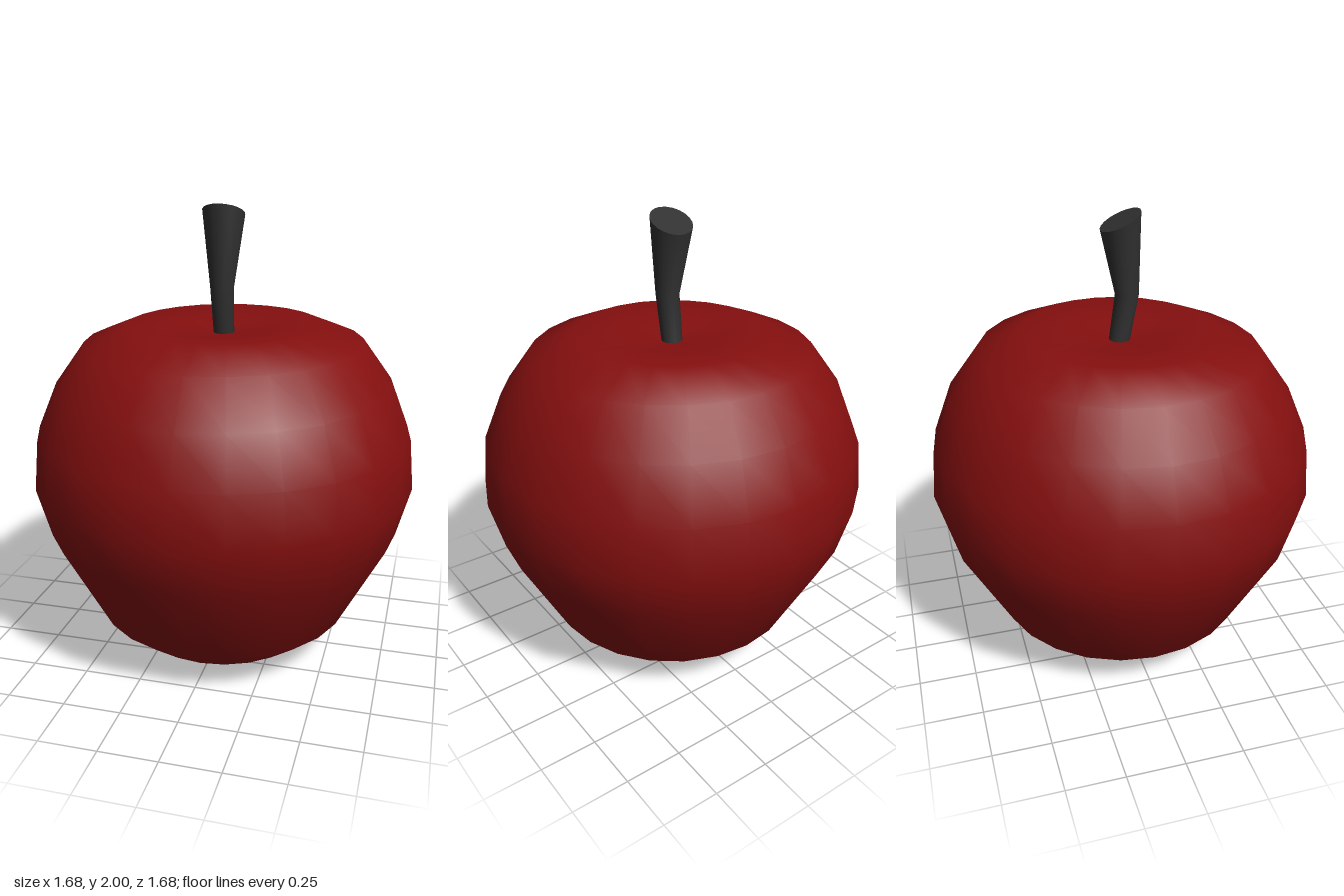
import * as THREE from 'three';
import { toCreasedNormals } from 'three/addons/utils/BufferGeometryUtils.js';

// Round body turned from a profile, its shoulder leaning a touch to one side
function createBody() {
  const profile = [
    [0, 0], [0.22, 0.02], [0.41, 0.065], [0.57, 0.19], [0.78, 0.59], [0.84, 0.81],
    [0.82, 1.03], [0.735, 1.24], [0.605, 1.42], [0.415, 1.497], [0.2, 1.475], [0, 1.45],
  ].map(([r, y]) => new THREE.Vector2(r, y));
  const geometry = new THREE.LatheGeometry(profile, 24);
  const pos = geometry.attributes.position;
  for (let i = 0; i < pos.count; i++) {
    const y = pos.getY(i);
    if (y > 1.1) pos.setY(i, y + 0.007 * pos.getX(i) - 0.016 * pos.getZ(i));
  }
  const body = new THREE.Mesh(geometry, new THREE.MeshStandardMaterial({ color: 0x850f0f }));
  body.name = 'appleBody';
  return body;
}

// Bent stem that widens to a slanted cut at the top
function createStem() {
  const sections = [
    { y: 1.43, z: -0.006, r: 0.044, slant: 0 },
    { y: 1.65, z: 0.03, r: 0.05, slant: 0 },
    { y: 1.96, z: 0.002, r: 0.09, slant: 0.47 },
  ];
  const geometry = new THREE.CylinderGeometry(1, 1, 2, 20, 2);
  const pos = geometry.attributes.position;
  for (let i = 0; i < pos.count; i++) {
    const s = sections[Math.round(pos.getY(i)) + 1];
    const x = pos.getX(i) * s.r;
    const z = pos.getZ(i) * (s.slant ? s.r * 0.92 : s.r);
    pos.setXYZ(i, x, s.y + z * s.slant, s.z + z);
  }
  const stem = new THREE.Mesh(
    toCreasedNormals(geometry, Math.PI / 4),
    new THREE.MeshStandardMaterial({ color: 0x303030 }),
  );
  stem.name = 'stem';
  return stem;
}

export function createModel() {
  const model = new THREE.Group();
  model.name = 'apple';
  model.add(createBody(), createStem());
  return model;
}
